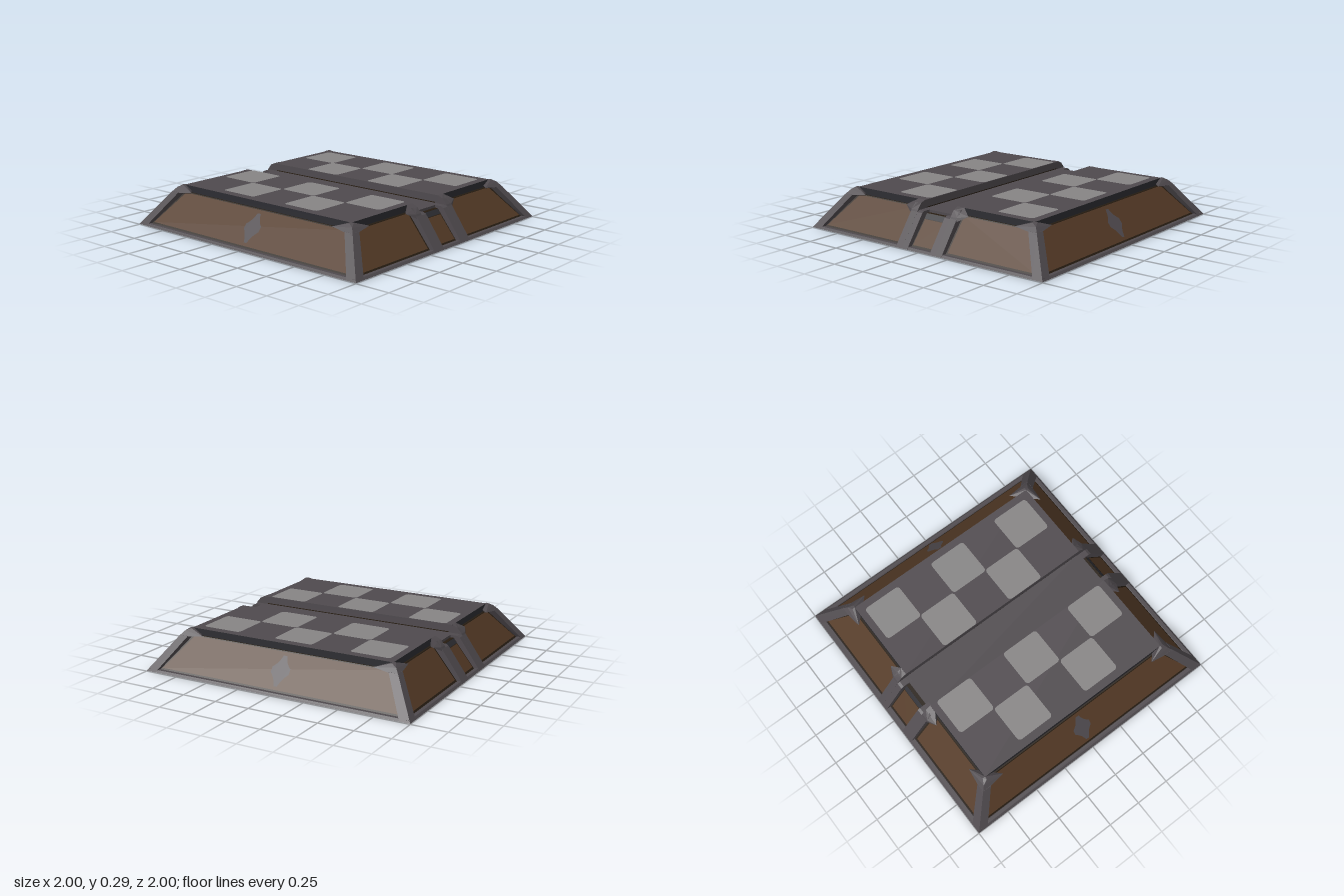
import * as THREE from 'three';
import { ConvexGeometry } from 'three/addons/geometries/ConvexGeometry.js';

const mat = (name, color) => {
  const m = new THREE.MeshStandardMaterial({ color });
  m.name = name;
  return m;
};

export function createModel() {
  const stone = mat('stone grey', 0x4f4a4e);
  const pale = mat('pale tile grey', 0x878585);
  const wood = mat('brown panel', 0x543a26);
  const shade = mat('dark groove', 0x271d12);
  const band = mat('dark band', 0x2d2d32);

  const model = new THREE.Group();
  model.name = 'floorTile';
  const B = 0.003; // underside of the frame, just above the base plates

  const add = (parent, name, geo, material) => {
    const mesh = new THREE.Mesh(geo, material);
    mesh.name = name;
    parent.add(mesh);
    return mesh;
  };
  const hull = (parent, name, pts, material) =>
    add(parent, name, new ConvexGeometry(pts.map(p => new THREE.Vector3(...p))), material);
  // flat four-cornered plate, corners counter-clockwise from its front
  const plate = (parent, name, c, material, flip = false) => {
    const g = new THREE.BufferGeometry();
    g.setAttribute('position', new THREE.Float32BufferAttribute(c.flat(), 3));
    g.setIndex(flip ? [0, 2, 1, 0, 3, 2] : [0, 1, 2, 0, 2, 3]);
    g.computeVertexNormals();
    return add(parent, name, g, material);
  };
  const box = (parent, name, x0, x1, y0, y1, z0, z1, material) => {
    const m = add(parent, name, new THREE.BoxGeometry(x1 - x0, y1 - y0, z1 - z0), material);
    m.position.set((x0 + x1) / 2, (y0 + y1) / 2, (z0 + z1) / 2);
  };
  const inner = y => 0.969 - 0.809 * y; // distance of the panel face at a height

  // four-pointed emblem with hollow curves between the points
  const emblem = new THREE.Shape();
  emblem.moveTo(0.015, 0.108);
  emblem.quadraticCurveTo(0.025, 0.055, 0.068, 0.022);
  emblem.lineTo(0.068, -0.018);
  emblem.quadraticCurveTo(0.03, -0.05, 0.012, -0.11);
  emblem.lineTo(-0.012, -0.11);
  emblem.quadraticCurveTo(-0.03, -0.05, -0.068, -0.018);
  emblem.lineTo(-0.068, 0.022);
  emblem.quadraticCurveTo(-0.025, 0.055, -0.015, 0.108);

  function raisedHalf(name) {
    const half = new THREE.Group();
    half.name = name;

    // core behind the panels, and the walking slab
    hull(half, 'core', [-1, 1].flatMap(s => [
      [s * 0.965, B, 0.145], [s * 0.965, B, 0.965],
      [s * 0.775, 0.238, 0.145], [s * 0.775, 0.238, 0.775]]), shade);
    box(half, 'slab', -0.766, 0.766, 0.235, 0.285, 0.143, 0.766,
      [band, band, stone, stone, band, stone]);

    // front panel with emblem
    const zb = inner(0.025), zt = inner(0.233);
    plate(half, 'frontPanel', [[-0.9, 0.025, zb], [0.9, 0.025, zb],
      [0.74, 0.233, zt], [-0.74, 0.233, zt]], wood);
    const mark = add(half, 'emblem', new THREE.ShapeGeometry(emblem, 6), stone);
    mark.position.set(0, 0.13, inner(0.13) + 0.004);
    mark.rotation.x = -Math.atan(0.809);

    // bottom rail
    hull(half, 'frontRail', [-1, 1].flatMap(s => [[s, B, 1], [s * 0.95, B, 0.95],
      [s * 0.985, 0.018, 0.987], [s * 0.95, 0.018, 0.962]]), stone);

    for (const s of [-1, 1]) {
      plate(half, 'sidePanel', [[s * zb, 0.025, 0.9], [s * zb, 0.025, 0.21],
        [s * zt, 0.233, 0.21], [s * zt, 0.233, 0.74]], wood, s < 0);
      hull(half, 'sideRail', [0.145, 0.99].flatMap(z => [[s, B, z], [s * 0.95, B, z],
        [s * 0.987, 0.018, z], [s * 0.962, 0.018, z]]), stone);

      // corner post and its arrow-shaped bracket
      hull(half, 'cornerPost', [
        [s, B, 1], [s * 0.925, B, 1], [s, B, 0.925], [s * 0.92, B, 0.92],
        [s * 0.83, 0.24, 0.83], [s * 0.765, 0.24, 0.83],
        [s * 0.83, 0.24, 0.765], [s * 0.75, 0.24, 0.75]], stone);
      hull(half, 'cornerBracket', [
        [s * 0.84, 0.228, 0.84], [s * 0.805, 0.268, 0.805], [s * 0.765, 0.288, 0.765],
        [s * 0.785, 0.285, 0.765], [s * 0.765, 0.285, 0.785],
        [s * 0.65, 0.25, 0.815], [s * 0.815, 0.25, 0.65],
        [s * 0.75, 0.215, 0.75]], stone);

      // post beside the channel, with its bracket
      hull(half, 'channelPost', [0.143, 0.198].flatMap(z => [
        [s, B, z], [s * 0.9, B, z], [s * 0.83, 0.24, z],
        [s * 0.8, 0.268, z], [s * 0.766, 0.285, z], [s * 0.74, 0.235, z]]), stone);
      hull(half, 'channelBracket', [
        [s * 0.838, 0.232, 0.143], [s * 0.838, 0.232, 0.2], [s * 0.86, 0.19, 0.17],
        [s * 0.805, 0.27, 0.143], [s * 0.766, 0.287, 0.143], [s * 0.766, 0.287, 0.2],
        [s * 0.81, 0.245, 0.27], [s * 0.75, 0.23, 0.2]], stone);
    }
    model.add(half);
    return half;
  }
  raisedHalf('frontHalf');
  raisedHalf('backHalf').rotation.y = Math.PI;

  // channel through the middle
  const channel = new THREE.Group();
  channel.name = 'channel';
  model.add(channel);
  hull(channel, 'channelCore', [-1, 1].flatMap(s => [-0.15, 0.15].flatMap(z => [
    [s * 0.965, B, z], [s * inner(0.21), 0.21, z]])), shade);
  box(channel, 'channelFloor', -0.775, 0.775, 0.2, 0.228, -0.15, 0.15, stone);
  for (const s of [-1, 1]) {
    const at = y => s * inner(y);
    plate(channel, 'channelPanel', [[at(0.025), 0.025, 0.09], [at(0.025), 0.025, -0.09],
      [at(0.175), 0.175, -0.09], [at(0.175), 0.175, 0.09]], wood, s < 0);
    plate(channel, 'channelBand', [[at(0.178), 0.178, 0.095], [at(0.178), 0.178, -0.095],
      [at(0.208), 0.208, -0.095], [at(0.208), 0.208, 0.095]], band, s < 0);
    hull(channel, 'channelRail', [-0.145, 0.145].flatMap(z => [[s, B, z], [s * 0.95, B, z],
      [s * 0.987, 0.018, z], [s * 0.962, 0.018, z]]), stone);
    for (const t of [-1, 1]) {
      hull(channel, 'channelStile', [0.097, 0.146].flatMap(z => [[s, B, t * z],
        [s * 0.9, B, t * z], [s * 0.845, 0.218, t * z], [s * 0.825, 0.228, t * z],
        [s * 0.75, 0.228, t * z], [s * 0.75, 0.2, t * z]]), stone);
    }
  }

  // pale chequered tiles: rows of [z start, z end, column centres]
  const rows = [
    [-0.712, -0.428, [-0.572, 0, 0.568]], [-0.436, -0.145, [-0.29, 0.283]],
    [0.145, 0.426, [-0.572, 0, 0.568]], [0.424, 0.71, [-0.29, 0.283]]];
  const rounded = (w, h, r) => {
    const p = new THREE.Shape();
    p.absarc(w - r, h - r, r, 0, Math.PI / 2);
    p.absarc(r - w, h - r, r, Math.PI / 2, Math.PI);
    p.absarc(r - w, r - h, r, Math.PI, Math.PI * 1.5);
    p.absarc(w - r, r - h, r, Math.PI * 1.5, Math.PI * 2);
    return new THREE.ShapeGeometry(p, 4);
  };
  rows.forEach(([z0, z1, columns], i) => columns.forEach(x => {
    const tile = add(model, 'paleTile', rounded(0.145, (z1 - z0) / 2, 0.025), pale);
    tile.rotation.x = -Math.PI / 2;
    tile.position.set(x, 0.287 + i * 0.0002, (z0 + z1) / 2);
  }));

  // planks underneath, with dark gaps between
  const planks = [[-1, -0.94, wood], [-0.93, -0.325, wood], [-0.315, 0.295, wood],
    [0.305, 0.68, wood], [0.7, 1, stone]];
  for (const [z0, z1, m] of planks) {
    plate(model, 'basePlank', [[-1, 0, z0], [1, 0, z0], [1, 0, z1], [-1, 0, z1]], m);
  }
  return model;
}
